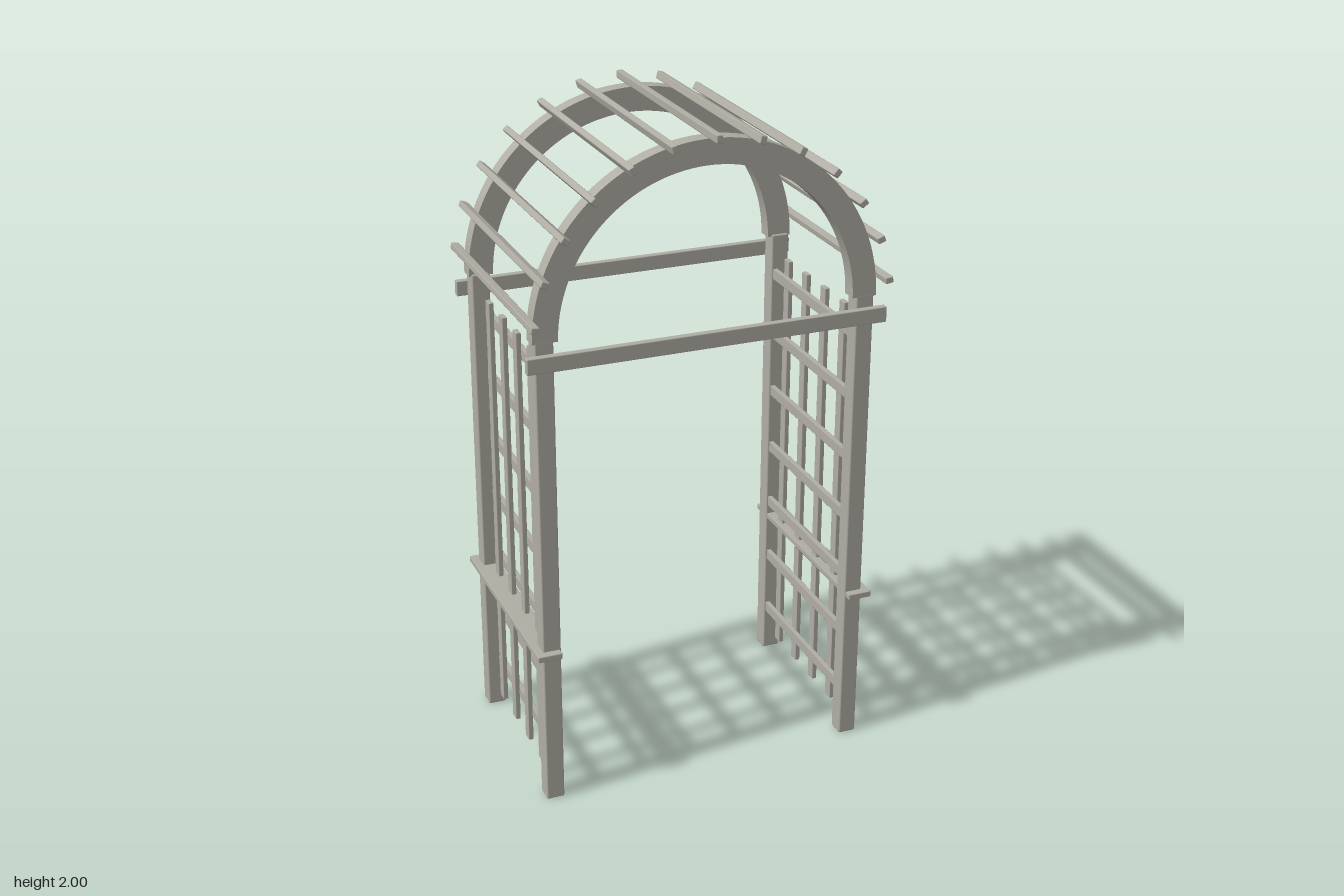
import * as THREE from 'three';
import { RoundedBoxGeometry } from 'three/addons/geometries/RoundedBoxGeometry.js';
import { toCreasedNormals } from 'three/addons/utils/BufferGeometryUtils.js';

const POST_X = 0.483, POST_Z = 0.287;
const SPRING_Y = 1.457; // height where the arches start
const SIDES = [-1, 1];

export function createModel() {
  const model = new THREE.Group();
  model.name = 'gardenArbor';
  const wood = new THREE.MeshStandardMaterial({ color: 0xb0aea4 });
  wood.name = 'weathered grey wood';

  // Timber with slightly eased edges
  const timber = (name, size, pos, parent = model, bevel = 0.003) => {
    const mesh = new THREE.Mesh(new RoundedBoxGeometry(...size, 1, bevel), wood);
    mesh.name = name;
    mesh.position.set(...pos);
    parent.add(mesh);
    return mesh;
  };

  // Half-ring used for the front and back arches
  const shape = new THREE.Shape();
  shape.absarc(0, 0, 0.517, 0, Math.PI, false);
  shape.absarc(0, 0, 0.443, Math.PI, 0, true);
  const archGeometry = toCreasedNormals(
    new THREE.ExtrudeGeometry(shape, { depth: 0.048, bevelEnabled: false, curveSegments: 48 }), 0.6);
  archGeometry.translate(0, 0, -0.024);

  for (const s of SIDES) {
    const arch = new THREE.Mesh(archGeometry, wood);
    arch.name = s > 0 ? 'frontArch' : 'backArch';
    arch.position.set(0, SPRING_Y, s * 0.29);
    model.add(arch);

    timber(s > 0 ? 'frontCrossBeam' : 'backCrossBeam', [1.082, 0.047, 0.022], [0, 1.404, s * 0.329]);
  }

  // Left and right side frames
  for (const s of SIDES) {
    const side = new THREE.Group();
    side.name = s > 0 ? 'leftSide' : 'rightSide';
    model.add(side);

    for (const z of SIDES) {
      timber(z > 0 ? 'frontPost' : 'backPost', [0.055, 1.463, 0.055],
        [s * POST_X, 0.7315, z * POST_Z], side, 0.005);
    }
    timber('sideRail', [0.074, 0.019, 0.676], [s * 0.496, 0.495, 0], side);

    // Lattice: upright slats outside, level slats inside
    for (let i = 0; i < 4; i++) {
      timber('latticeUpright', [0.015, 1.34, 0.034],
        [s * 0.4805, 0.732, -0.19 + i * 0.1265], side, 0.002);
    }
    for (let i = 0; i < 7; i++) {
      timber('latticeCrosspiece', [0.015, 0.034, 0.514],
        [s * 0.4665, 0.158 + i * 0.1965, 0], side, 0.002);
    }
  }

  // Roof slats spaced evenly around the arches
  for (let i = 0; i < 13; i++) {
    const a = ((i + 0.5) * Math.PI) / 13;
    const slat = timber('roofSlat', [0.024, 0.019, 0.752],
      [0.53 * Math.cos(a), SPRING_Y + 0.53 * Math.sin(a), 0]);
    slat.rotation.z = a;
  }
  return model;
}
